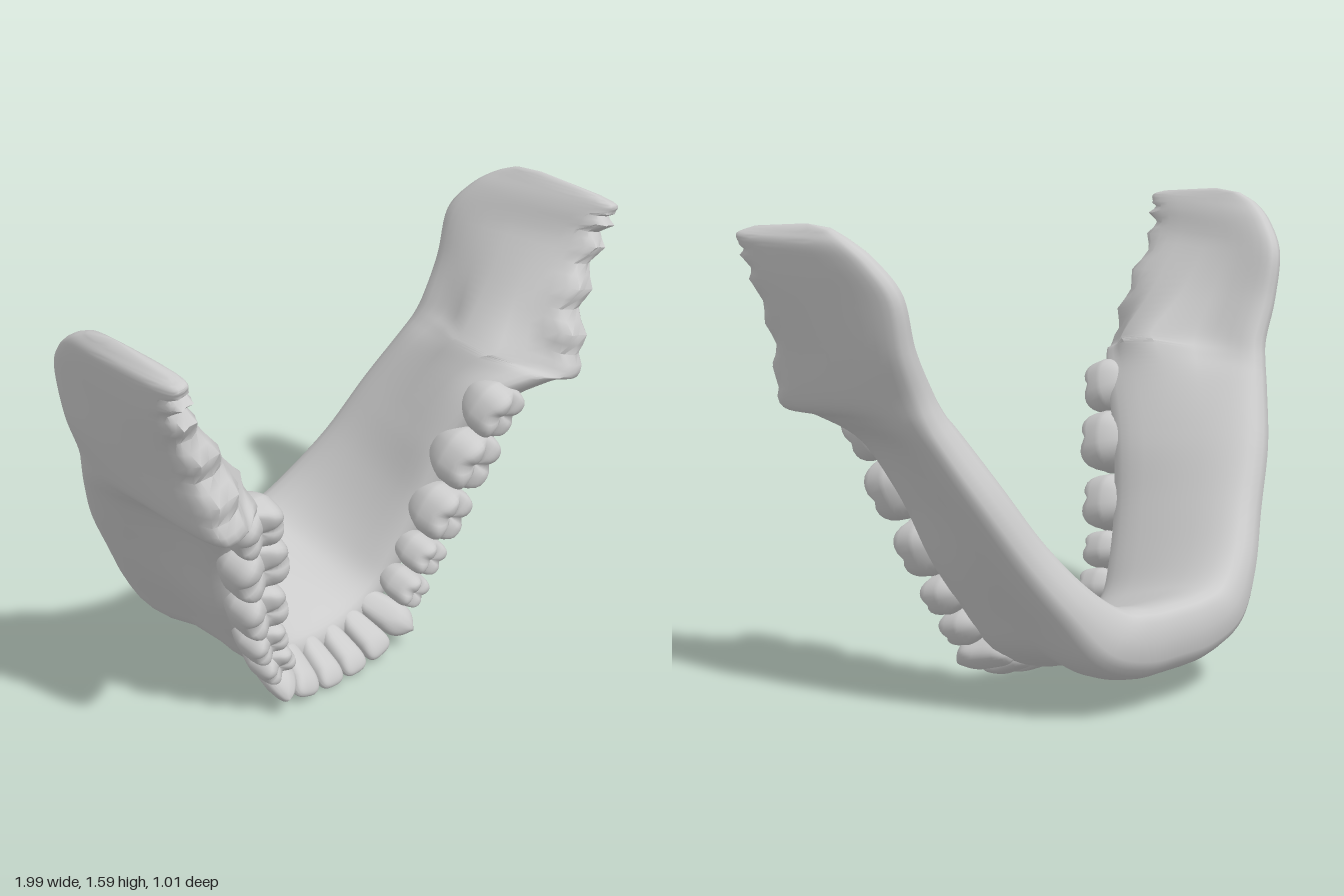
import * as THREE from 'three';
import { toCreasedNormals } from 'three/addons/utils/BufferGeometryUtils.js';

const V = (x, y, z) => new THREE.Vector3(x, y, z);
const pow = (v, e) => Math.sign(v) * Math.abs(v) ** e;

// Cross-sections from the chin to the top of the ramus:
// crest centre, crest half width, base centre, base half width, outward angle, inner bulge
const STATIONS = [
  [[0, 0.10, 0.085], 0.07, [0, 0.25, -0.51], 0.145, 0, 0],
  [[0.15, 0.12, 0.085], 0.07, [0.14, 0.255, -0.51], 0.145, 10, 0],
  [[0.27, 0.19, 0.095], 0.068, [0.28, 0.295, -0.495], 0.135, 40, 0],
  [[0.345, 0.31, 0.12], 0.072, [0.40, 0.41, -0.45], 0.105, 57, 0],
  [[0.435, 0.50, 0.17], 0.09, [0.52, 0.57, -0.375], 0.09, 62, 0],
  [[0.495, 0.71, 0.225], 0.105, [0.64, 0.76, -0.305], 0.085, 62, 0],
  [[0.575, 0.90, 0.33], 0.10, [0.73, 0.93, -0.225], 0.08, 65, 0.03],
  [[0.69, 0.98, 0.44], 0.09, [0.765, 1.01, -0.19], 0.075, 68, 0.11],
  [[0.78, 1.0, 0.5], 0.075, [0.79, 1.09, -0.17], 0.07, 72, 0.16],
  [[0.82, 1.20, 0.455], 0.09, [0.845, 1.22, -0.165], 0.06, 76, 0.04],
  [[0.92, 1.40, 0.445], 0.06, [0.88, 1.38, -0.16], 0.05, 76, 0],
  [[0.95, 1.50, 0.47], 0.05, [0.915, 1.48, -0.09], 0.045, 78, 0],
  [[0.96, 1.54, 0.485], 0.04, [0.94, 1.54, -0.01], 0.035, 78, 0],
  [[0.955, 1.56, 0.43], 0.02, [0.945, 1.575, 0.07], 0.02, 78, 0],
];

// Bone lofted through the mirrored cross-sections
function boneGeometry() {
  const last = STATIONS.length - 1, STEPS = 6, LOOP = 28;
  const crest = [], base = [], widths = [], angles = [];
  for (let i = -last; i <= last; i++) {
    const [c, wc, b, wb, angle, bulge] = STATIONS[Math.abs(i)];
    const s = i < 0 ? -1 : 1;
    crest.push(V(s * c[0], c[1], c[2]));
    base.push(V(s * b[0], b[1], b[2]));
    widths.push(V(wc, wb, bulge));
    angles.push(V(s * THREE.MathUtils.degToRad(angle), i * 0.1, 0));
  }
  const [crestC, baseC, widthC, angleC] = [crest, base, widths, angles]
    .map(p => new THREE.CatmullRomCurve3(p, false, 'catmullrom', 0.5));

  const pos = [], index = [], rings = 2 * last * STEPS;
  for (let i = 0; i <= rings; i++) {
    const u = i / rings;
    const c = crestC.getPoint(u), b = baseC.getPoint(u), w = widthC.getPoint(u);
    const ang = angleC.getPoint(u).x;
    const out = V(Math.sin(ang), -Math.cos(ang), 0);
    const ring = Math.abs(i - rings / 2), fromMid = ring / STEPS;
    const fade = THREE.MathUtils.clamp((8 - fromMid) / 3, 0, 1);
    // broken front edge of the ramus
    const jag = fromMid > 8.1 && fromMid < 11.2 ? [0.025, 0, -0.02, 0.005][ring % 4] : 0;
    for (let j = 0; j < LOOP; j++) {
      const phi = j / LOOP * Math.PI * 2, cos = Math.cos(phi);
      const a = 0.5 - 0.5 * pow(cos, cos > 0 ? 0.7 : 0.55);
      let d = pow(Math.sin(phi), 0.55) * THREE.MathUtils.lerp(w.y, w.x, a);
      // ledge behind the last molar on the inside, hollow below the teeth on the outside
      if (d < 0) d -= Math.max(0, w.z) * Math.exp(-(((a - 0.6) / 0.22) ** 2));
      else d -= fade * (0.015 + 0.025 * Math.cos(ang)) * Math.exp(-(((a - 0.58) / 0.22) ** 2));
      const p = b.clone().lerp(c, a).addScaledVector(out, d);
      if (a > 0.93) p.z += jag * (j % 2 ? 1 : 0.6);
      pos.push(p.x, p.y, p.z);
    }
  }
  for (let i = 0; i < rings; i++) for (let j = 0; j < LOOP; j++) {
    const k = (j + 1) % LOOP, p = i * LOOP, q = p + LOOP;
    index.push(p + j, q + j, p + k, p + k, q + j, q + k);
  }
  // rounded caps along the top of each ramus
  const start = pos.length / 3, end = rings * LOOP;
  pos.push(-0.945, 1.585, 0.18, 0.945, 1.585, 0.18);
  for (let j = 0; j < LOOP; j++) {
    const k = (j + 1) % LOOP;
    index.push(start, j, k, start + 1, end + k, end + j);
  }
  const g = new THREE.BufferGeometry();
  g.setAttribute('position', new THREE.Float32BufferAttribute(pos, 3));
  g.setIndex(index);
  return toCreasedNormals(g, 0.9);
}

// Crown shapes: x runs along the arch, y up the tooth, z toward the cheek
function toothGeometry(kind, w, h, d) {
  const g = new THREE.SphereGeometry(1, 28, 20), p = g.attributes.position;
  for (let i = 0; i < p.count; i++) {
    let x = pow(p.getX(i), 0.8), y = p.getY(i), z = pow(p.getZ(i), 0.8);
    if (kind === 'incisor' || kind === 'canine') {
      // blade that thins toward the edge and narrows to the root
      const t = (y + 1) / 2;
      x = pow(x, 0.8) * (0.5 + 0.55 * t);
      z = z * (1.1 - 0.65 * t) + 0.25 * t * t;
      y = pow(y, 0.5);
      if (kind === 'canine' && y > 0) y += 0.15 - 0.4 * Math.abs(x);
    } else if (y > 0) {
      // flat-topped crown with corner cusps and crossing grooves
      const n = kind === 'molar' ? 0.8 : 0.4;
      const rise = Math.min(1, y * 1.6);
      const groove = n * Math.exp(-((x / 0.16) ** 2)) + Math.exp(-((z / 0.25) ** 2));
      y = pow(y, 0.4) * 0.85 + rise * (0.35 * Math.abs(x * z) - 0.15 * groove);
    } else {
      x *= 1 + 0.3 * y;
      z *= 1 + 0.25 * y;
    }
    p.setXYZ(i, x * w, y * h, z * d);
  }
  g.computeVertexNormals();
  return g;
}

// name, kind, centre, half sizes (along arch, height, across), angle, forward tilt
const TEETH = [
  ['centralIncisor', 'incisor', [0.054, 0.068, 0.12], [0.061, 0.1, 0.058], 4, 0.5],
  ['lateralIncisor', 'incisor', [0.163, 0.084, 0.12], [0.064, 0.1, 0.06], 17, 0.5],
  ['canine', 'canine', [0.262, 0.13, 0.12], [0.07, 0.11, 0.07], 40, 0.4],
  ['firstPremolar', 'premolar', [0.328, 0.228, 0.145], [0.063, 0.1, 0.07], 54, 0.25],
  ['secondPremolar', 'premolar', [0.386, 0.345, 0.165], [0.067, 0.1, 0.077], 60, 0.25],
  ['firstMolar', 'molar', [0.44, 0.505, 0.2], [0.098, 0.11, 0.092], 66, 0.25],
  ['secondMolar', 'molar', [0.5, 0.71, 0.25], [0.108, 0.115, 0.11], 68, 0.3],
  ['thirdMolar', 'molar', [0.56, 0.895, 0.315], [0.097, 0.1, 0.093], 68, 0.4],
];

export function createModel() {
  const model = new THREE.Group();
  model.name = 'lowerJaw';
  const material = new THREE.MeshStandardMaterial({ color: 0xcccccc, side: THREE.DoubleSide });

  const bone = new THREE.Mesh(boneGeometry(), material);
  bone.name = 'jawBone';
  model.add(bone);

  // teeth on both sides of the arch
  const teeth = new THREE.Group();
  teeth.name = 'teeth';
  model.add(teeth);
  for (const [name, kind, c, size, angle, tilt] of TEETH) {
    const geometry = toothGeometry(kind, ...size), a = THREE.MathUtils.degToRad(angle);
    for (const s of [1, -1]) {
      const out = V(s * Math.sin(a), -Math.cos(a), 0);
      const front = kind === 'incisor' || kind === 'canine';
      const axis = V(0, 0, 1).addScaledVector(front ? out : V(0, -1, 0), tilt).normalize();
      const along = axis.clone().cross(out).normalize();
      const across = along.clone().cross(axis);
      const tooth = new THREE.Mesh(geometry, material);
      tooth.name = (s > 0 ? 'left' : 'right') + name[0].toUpperCase() + name.slice(1);
      tooth.quaternion.setFromRotationMatrix(new THREE.Matrix4().makeBasis(along, axis, across));
      tooth.position.set(s * c[0], c[1], c[2]);
      teeth.add(tooth);
    }
  }
  return model;
}
